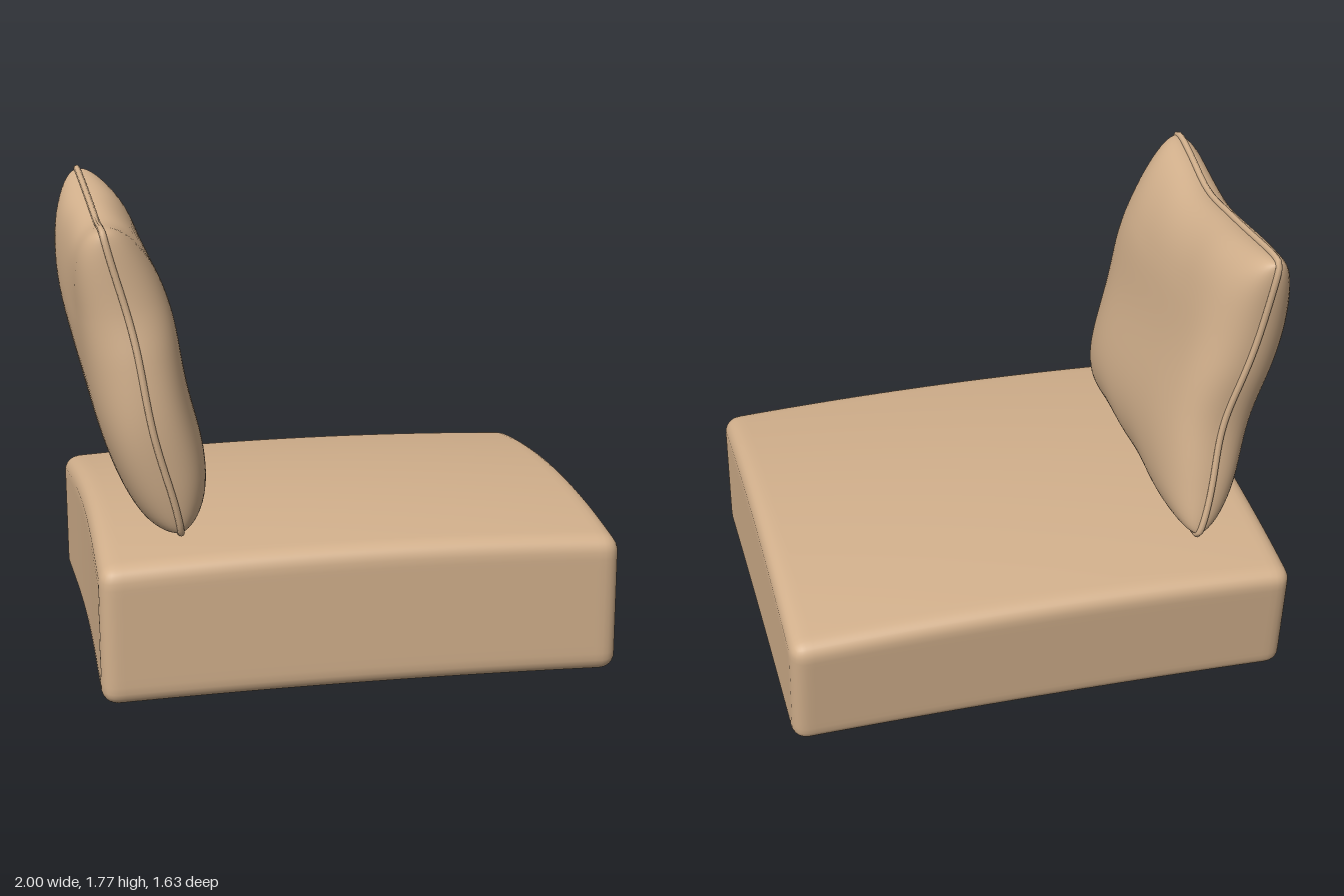
import * as THREE from 'three';
import { mergeVertices } from 'three/addons/utils/BufferGeometryUtils.js';

const fabric = new THREE.MeshStandardMaterial({ color: 0xd2b08c, roughness: 0.9 });

// Apply a rule to every vertex of a geometry
function reshape(geo, rule) {
  const pos = geo.attributes.position;
  const p = new THREE.Vector3();
  for (let i = 0; i < pos.count; i++) {
    rule(p.fromBufferAttribute(pos, i));
    pos.setXYZ(i, p.x, p.y, p.z);
  }
  geo.computeVertexNormals();
  return geo;
}

// Gathers grid lines towards the edges, t in -1..1
const gather = (t) => Math.sin((t * Math.PI) / 2);

// Seat: a rounded box with a crowned top, lifted underside and leaning back wall
function seatGeometry() {
  let geo = new THREE.BoxGeometry(2, 2, 2, 44, 20, 44);
  geo.deleteAttribute('uv');
  geo.deleteAttribute('normal');
  geo = mergeVertices(geo, 1e-4);
  const half = new THREE.Vector3(0.98, 0.28, 0.82);
  const r = 0.065;
  const inner = half.clone().subScalar(r);
  const innerMin = inner.clone().negate();
  const core = new THREE.Vector3();
  return reshape(geo, (p) => {
    p.set(gather(p.x), gather(p.y), gather(p.z)).multiply(half);
    core.copy(p).clamp(innerMin, inner);
    p.sub(core).setLength(r).add(core);
    const { x, z } = p;
    const t = (p.y / half.y + 1) / 2;
    const top = 0.605 + 0.03 * z - 0.1 * z * z - 0.03 * x * x;
    const bottom = 0.03 - 0.014 * x * x - 0.022 * z * z;
    p.y = THREE.MathUtils.lerp(bottom, top, t);
    if (z < 0) p.z *= 1 - 0.075 * (1 - t);
    p.x += 0.02 - 0.008 * Math.cos(z * 3) * (x < 0 ? -1 : 0);
  });
}

// Pillow outline: four edges given as [z, y]
const edge = (pts) =>
  new THREE.CatmullRomCurve3(pts.map(([z, y]) => new THREE.Vector3(0, y, z)));
const topEdge = edge([[0.6, 1.76], [0.38, 1.725], [0.13, 1.695], [-0.15, 1.72], [-0.4, 1.75], [-0.66, 1.785]]);
const bottomEdge = edge([[0.63, 0.57], [0.3, 0.585], [0, 0.585], [-0.3, 0.57], [-0.63, 0.56]]);
const frontEdge = edge([[0.63, 0.57], [0.66, 0.8], [0.67, 1.02], [0.65, 1.25], [0.615, 1.45], [0.6, 1.76]]);
const backEdge = edge([[-0.63, 0.56], [-0.595, 0.8], [-0.57, 1.04], [-0.595, 1.28], [-0.62, 1.52], [-0.66, 1.785]]);

// Point on the pillow's middle sheet, blended from its four edges; u, v in -1..1
function sheetPoint(u, v) {
  const round = 1 - 0.04 * Math.pow(u * v, 12);
  const s = (u * round + 1) / 2;
  const t = (v * round + 1) / 2;
  const p = new THREE.Vector3();
  const add = (q, w) => p.addScaledVector(q, w);
  add(bottomEdge.getPoint(s), 1 - t);
  add(topEdge.getPoint(s), t);
  add(frontEdge.getPoint(t), 1 - s);
  add(backEdge.getPoint(t), s);
  add(bottomEdge.getPoint(0), -(1 - s) * (1 - t));
  add(bottomEdge.getPoint(1), -s * (1 - t));
  add(topEdge.getPoint(0), -(1 - s) * t);
  add(topEdge.getPoint(1), -s * t);
  // lean backwards with a slight wave along the seam
  p.x = -0.64 - 0.217 * (p.y - 0.57) + 0.008 * Math.sin(p.y * 9 + p.z * 3);
  return p;
}

// One stuffed face; side is +1 for the face towards the seat, -1 for the rear
function pillowFace(side) {
  const out = new THREE.Vector3(1, 0.217, 0).normalize().multiplyScalar(side);
  const geo = new THREE.PlaneGeometry(2, 2, 48, 48);
  geo.deleteAttribute('uv');
  return reshape(geo, (p) => {
    const u = gather(p.x) * side;
    const v = gather(p.y);
    const fill = Math.max(0, (1 - Math.pow(u, 6)) * (1 - Math.pow(v, 4)));
    const pucker = 1 + 0.05 * Math.sin(u * 9 + v * 4) * Math.pow(Math.max(Math.abs(u), Math.abs(v)), 6);
    p.copy(sheetPoint(u * 0.985, v * 0.985)).addScaledVector(out, 0.182 * Math.pow(fill, 0.45) * pucker);
  });
}

// Piping that follows the pillow's rim
function pipingGeometry() {
  const rim = [];
  const n = 24;
  const sides = [(t) => [t, -1], (t) => [1, t], (t) => [-t, 1], (t) => [-1, -t]];
  for (const side of sides) {
    for (let i = 0; i < n; i++) rim.push(sheetPoint(...side(gather((2 * i) / n - 1)).map((c) => c * 0.99)));
  }
  // corner points are doubled by the gathered spacing, so thin out near neighbours
  const points = rim.filter((p, i) => i === 0 || p.distanceTo(rim[i - 1]) > 0.004);
  return new THREE.TubeGeometry(new THREE.CatmullRomCurve3(points, true), 200, 0.013, 8, true);
}

export function createModel() {
  const model = new THREE.Group();
  model.name = 'floorCushionSeat';
  const add = (parent, name, geo) => {
    const mesh = new THREE.Mesh(geo, fabric);
    mesh.name = name;
    parent.add(mesh);
  };

  add(model, 'seatCushion', seatGeometry());

  const pillow = new THREE.Group();
  pillow.name = 'backPillow';
  add(pillow, 'pillowFront', pillowFace(1));
  add(pillow, 'pillowRear', pillowFace(-1));
  add(pillow, 'pillowPiping', pipingGeometry());
  model.add(pillow);
  return model;
}
